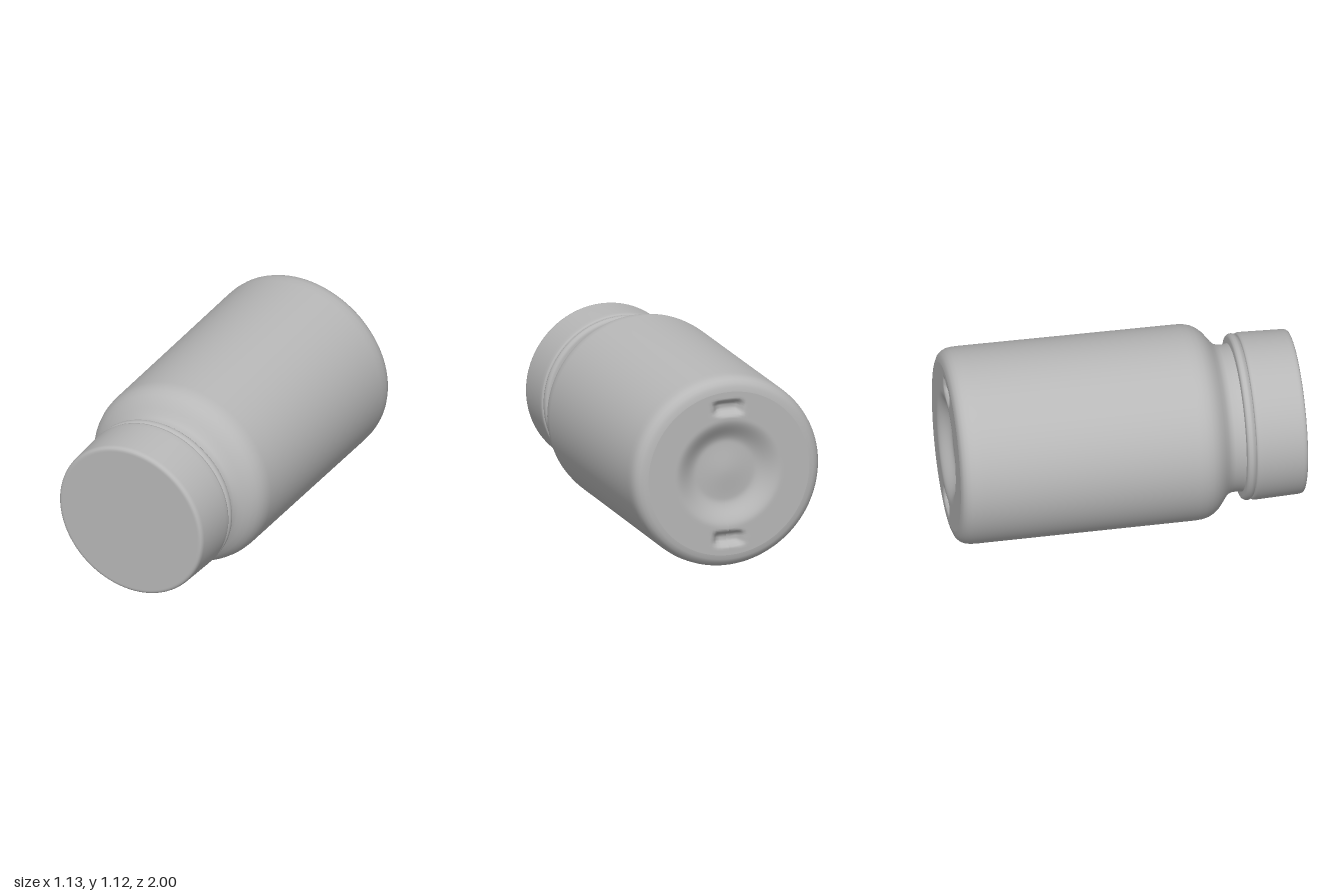
import * as THREE from 'three';

const plastic = new THREE.MeshStandardMaterial({ color: 0xb8b8b8 });
plastic.name = 'grey plastic';

const CENTRE_Y = 0.563;

// Lathe a [radius, z] profile around the z axis; runs from back to front
function turned(name, profile, segments = 128) {
  const points = profile.map(([r, z]) => new THREE.Vector2(r, z));
  const geometry = new THREE.LatheGeometry(points, segments);
  geometry.rotateX(Math.PI / 2);
  const mesh = new THREE.Mesh(geometry, plastic);
  mesh.name = name;
  return mesh;
}

const smooth = THREE.MathUtils.smoothstep;

// Depth of the base: a round bowl and two mould notches above and below it
function baseDepth(x, y) {
  const r = Math.hypot(x, y);
  const bowl = 0.065 * (1 - smooth(r, 0.17, 0.32)) - 0.012 * (1 - smooth(r, 0, 0.18));
  const across = 1 - smooth(Math.abs(x), 0.05, 0.1);
  const along = 1 - smooth(Math.abs(Math.abs(y) - 0.385), 0.015, 0.05);
  return bowl + 0.045 * across * along;
}

export function createModel() {
  const group = new THREE.Group();
  group.name = 'bottle';

  // Body shell: rounded base edge, straight wall, curved shoulder, neck
  const wall = [
    [0.48, -0.999], [0.505, -0.995], [0.527, -0.985], [0.543, -0.967], [0.553, -0.945],
    [0.558, -0.915], [0.559, -0.87], [0.557, -0.3], [0.555, 0.37], [0.552, 0.41],
    [0.543, 0.445], [0.527, 0.475], [0.503, 0.503], [0.472, 0.528], [0.445, 0.548],
    [0.426, 0.568], [0.418, 0.59], [0.416, 0.625], [0.42, 0.645], [0.42, 0.7],
  ];
  const body = turned('bottleBody', wall);
  body.scale.x = 1.012;
  group.add(body);

  // Base plate, pressed in by the depth rule
  const rings = [];
  for (let i = 0; i <= 40; i++) rings.push([0.48 * i / 40, -1 + 0.001 * (i / 40)]);
  const base = turned('bottleBase', rings);
  const p = base.geometry.attributes.position;
  for (let i = 0; i < p.count; i++) {
    p.setZ(i, p.getZ(i) + baseDepth(p.getX(i), p.getY(i)));
  }
  base.geometry.computeVertexNormals();
  base.scale.x = 1.012;
  group.add(base);

  // Tamper ring below the lid
  const ring = turned('sealRing', [
    [0.41, 0.65], [0.452, 0.652], [0.465, 0.656], [0.472, 0.666], [0.474, 0.68],
    [0.471, 0.692], [0.46, 0.7], [0.455, 0.71],
  ]);

  // Lid with a slight taper and a flat front
  const lid = turned('lid', [
    [0.44, 0.702], [0.464, 0.704], [0.473, 0.709], [0.476, 0.72], [0.4755, 0.75],
    [0.472, 0.85], [0.468, 0.97], [0.467, 0.98], [0.464, 0.99], [0.458, 0.997],
    [0.449, 1], [0.44, 1], [0, 1],
  ]);
  for (const part of [ring, lid]) {
    part.position.set(0.007, -0.003, 0);
    group.add(part);
  }

  group.children.forEach((part) => { part.position.y += CENTRE_Y; });
  return group;
}
